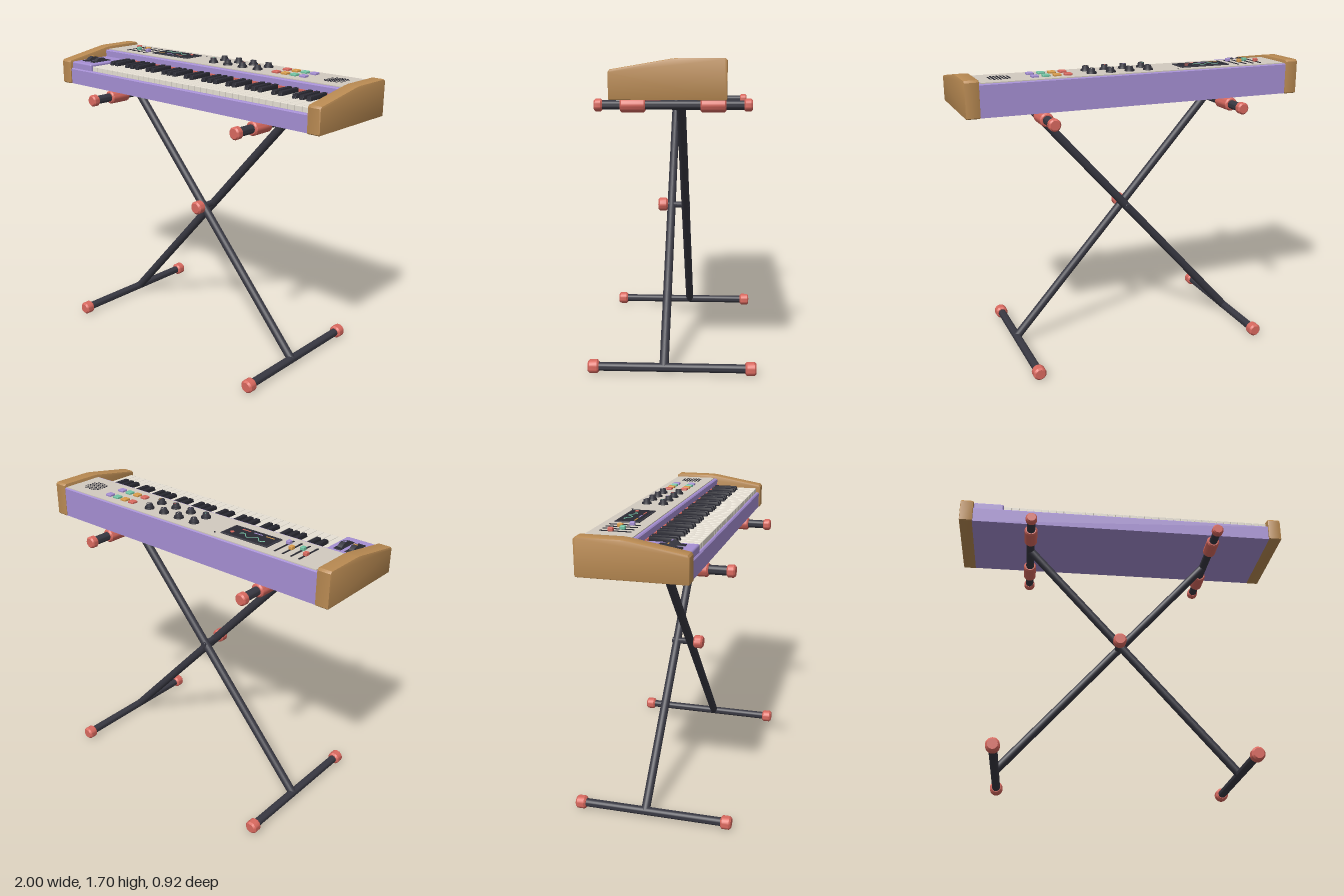
import * as THREE from 'three';
import { RoundedBoxGeometry } from 'three/addons/geometries/RoundedBoxGeometry.js';
import { toCreasedNormals } from 'three/addons/utils/BufferGeometryUtils.js';

const mat = (name, color) => {
  const m = new THREE.MeshStandardMaterial({ color });
  m.name = name;
  return m;
};

export function createModel() {
  const root = new THREE.Group();
  root.name = 'keyboardOnStand';
  const wood = mat('wood', 0xb98a52), lilac = mat('lilac', 0xa58fd3), cream = mat('cream', 0xd2cabf),
    ivory = mat('ivory', 0xe6e0d4), charcoal = mat('charcoal', 0x383842), black = mat('black', 0x2a2a33),
    coral = mat('coral', 0xd9695f), teal = mat('teal', 0x72c4a4), amber = mat('amber', 0xd99c4a);
  const accents = [coral, amber, teal, lilac];

  const add = (name, geo, m, x = 0, y = 0, z = 0, parent = root) => {
    const mesh = new THREE.Mesh(geo, m);
    mesh.name = name;
    mesh.position.set(x, y, z);
    parent.add(mesh);
    return mesh;
  };
  const group = (name) => {
    const g = new THREE.Group();
    g.name = name;
    root.add(g);
    return g;
  };
  const box = (w, h, d) => new THREE.BoxGeometry(w, h, d);
  const rbox = (w, h, d, r) => new RoundedBoxGeometry(w, h, d, 2, r);
  // side profile of [z, y] points, extruded along x and centred on it
  const extrudeX = (pts, width, bevel) => {
    const shape = new THREE.Shape(pts.map(([z, y]) => new THREE.Vector2(z, y)));
    const geo = new THREE.ExtrudeGeometry(shape, {
      depth: width - 2 * bevel, bevelEnabled: bevel > 0, bevelSize: bevel,
      bevelOffset: -bevel, bevelThickness: bevel, bevelSegments: 2,
    });
    geo.translate(0, 0, bevel - width / 2).rotateY(-Math.PI / 2);
    return toCreasedNormals(geo, 0.6);
  };
  // round bar along z with softened rims
  const roll = (r, len, c) => {
    const h = len / 2;
    const pts = [[0, -h], [r - c, -h], [r, -h + c], [r, h - c], [r - c, h], [0, h]];
    const geo = new THREE.LatheGeometry(pts.map(([x, y]) => new THREE.Vector2(x, y)), 24);
    return toCreasedNormals(geo.rotateX(Math.PI / 2), 0.6);
  };

  // Wooden end cheeks
  const cheek = extrudeX([[0.285, 1.49], [0.29, 1.495], [0.29, 1.625], [0.281, 1.637], [-0.02, 1.688],
    [-0.05, 1.691], [-0.275, 1.691], [-0.287, 1.68], [-0.287, 1.495], [-0.282, 1.49]], 0.08, 0.007);
  for (const s of [-1, 1]) add('endCheek', cheek, wood, s * 0.96);

  // Case with a recessed key bed
  add('case', extrudeX([[0.283, 1.492], [0.283, 1.582], [0.277, 1.589], [0.267, 1.589], [0.267, 1.575],
    [-0.006, 1.575], [-0.006, 1.664], [-0.012, 1.67], [-0.277, 1.67], [-0.283, 1.664], [-0.283, 1.492]],
  1.85, 0), lilac);
  const TOP = 1.675;
  add('controlPanel', box(1.82, 0.006, 0.252), cream, 0, TOP - 0.003, -0.151);
  add('feltStrip', box(1.65, 0.05, 0.008), coral, 0.09, 1.607, -0.002);

  // Keys: five octaves plus a final C
  const keys = group('keys');
  const k0 = -0.733, pitch = 1.648 / 36;
  const white = rbox(pitch - 0.0025, 0.04, 0.263, 0.003);
  const sharp = extrudeX([[0.155, 1.61], [0.146, 1.637], [0.141, 1.64], [0.003, 1.64], [0.003, 1.61]], 0.026, 0.003);
  for (let i = 0; i < 36; i++) {
    add('whiteKey', white, ivory, k0 + (i + 0.5) * pitch, 1.597, 0.1335, keys);
    if (i < 35 && ![2, 6].includes(i % 7)) add('blackKey', sharp, black, k0 + (i + 1) * pitch, 0, 0, keys);
  }

  // Wheel block with two wheels
  const wheels = group('wheelBlock');
  add('wheelBase', rbox(0.182, 0.06, 0.282, 0.01), lilac, -0.828, 1.6, 0.135, wheels);
  const wheel = new THREE.CylinderGeometry(0.055, 0.055, 0.028, 32).rotateZ(Math.PI / 2);
  [[-0.863, amber], [-0.794, lilac]].forEach(([x, m]) => {
    add('wheelSlot', rbox(0.046, 0.008, 0.138, 0.004), black, x, 1.63, 0.152, wheels);
    add('wheel', wheel, charcoal, x, 1.599, 0.152, wheels);
    add('wheelMark', box(0.026, 0.004, 0.007), m, x, 1.6535, 0.152, wheels);
  });

  // Sliders
  const sliders = group('sliders');
  [[-0.777, -0.172, coral], [-0.727, -0.125, teal], [-0.677, -0.155, amber], [-0.626, -0.107, lilac]]
    .forEach(([x, z, m]) => {
      add('sliderSlot', box(0.01, 0.004, 0.168), black, x, TOP + 0.001, -0.148, sliders);
      add('sliderCap', rbox(0.024, 0.02, 0.028, 0.004), m, x, TOP + 0.01, z, sliders);
    });

  // Display
  const display = group('display');
  add('screen', rbox(0.308, 0.008, 0.136, 0.004), charcoal, -0.418, TOP + 0.002, -0.157, display);
  add('screenGlass', box(0.288, 0.002, 0.116), black, -0.418, TOP + 0.006, -0.157, display);
  const wave = [];
  for (let i = 0; i <= 24; i++) {
    wave.push(new THREE.Vector3(-0.525 + i * 0.0071, TOP + 0.007, -0.177 - 0.017 * Math.sin(i / 24 * Math.PI * 4)));
  }
  add('waveform', new THREE.TubeGeometry(new THREE.CatmullRomCurve3(wave), 48, 0.0027, 6), teal, 0, 0, 0, display);
  add('recordLight', new THREE.CylinderGeometry(0.011, 0.011, 0.004, 20), coral, -0.312, TOP + 0.008, -0.183, display);
  [amber, lilac, coral].forEach((m, i) =>
    add('screenBar', box(0.055, 0.002, 0.007), m, -0.518 + i * 0.078, TOP + 0.0075, -0.122, display));
  add('statusDot', new THREE.CylinderGeometry(0.005, 0.005, 0.004, 12), black, -0.235, TOP + 0.001, -0.235, display);

  // Knobs and pads, two rows each
  const knobs = group('knobs'), pads = group('pads');
  const skirt = new THREE.CylinderGeometry(0.026, 0.029, 0.01, 24);
  const cap = new THREE.CylinderGeometry(0.017, 0.021, 0.02, 24);
  const pad = rbox(0.041, 0.016, 0.041, 0.005);
  [-0.205, -0.106].forEach((z, row) => {
    for (let i = 0; i < 4; i++) {
      const x = -0.06 + i * 0.1127;
      add('knobSkirt', skirt, black, x, TOP + 0.005, z, knobs);
      add('knobCap', cap, charcoal, x, TOP + 0.018, z, knobs);
      const mark = add('knobMark', box(0.004, 0.002, 0.015).translate(0, 0, -0.008),
        row ? accents[(i + 2) % 4] : ivory, x, TOP + 0.0285, z, knobs);
      mark.rotation.y = 0.5 - i * 0.3;
      add('pad', pad, accents[i], 0.415 + i * 0.0625, TOP + 0.004, z, pads);
    }
  });

  // Speaker holes
  const grille = group('speakerHoles');
  const hole = new THREE.CylinderGeometry(0.0055, 0.0055, 0.003, 10);
  for (let i = -3; i <= 3; i++) for (let j = -3; j <= 3; j++) {
    if (i * i + j * j <= 13) add('hole', hole, black, 0.785 + i * 0.0175, TOP + 0.0005, -0.152 + j * 0.0175, grille);
  }

  // Stand: support bars, feet, crossed legs, pivot
  const stand = group('stand');
  for (const s of [-1, 1]) {
    add('supportBar', roll(0.025, 0.8, 0.003), charcoal, s * 0.563, 1.452, 0, stand);
    add('footBar', roll(0.024, 0.86, 0.003), charcoal, s * 0.7, 0.038, 0, stand);
    for (const e of [-1, 1]) {
      add('barCap', roll(0.034, 0.045, 0.008), coral, s * 0.563, 1.452, e * 0.402, stand);
      add('gripPad', roll(0.039, 0.136, 0.008), coral, s * 0.563, 1.452, e * 0.216, stand);
      add('footCap', roll(0.038, 0.06, 0.01), coral, s * 0.7, 0.038, e * 0.428, stand);
    }
    const a = new THREE.Vector3(s * 0.7, 0.038, s * 0.043);
    const b = new THREE.Vector3(-s * 0.563, 1.452, s * 0.043);
    add('crossLeg', new THREE.TubeGeometry(new THREE.LineCurve3(a, b), 1, 0.025, 20), charcoal, 0, 0, 0, stand);
  }
  add('pivotPin', roll(0.019, 0.16, 0.002), charcoal, 0, 0.825, 0.01, stand);
  add('pivotKnob', roll(0.04, 0.058, 0.01), coral, 0, 0.828, 0.094, stand);
  return root;
}
